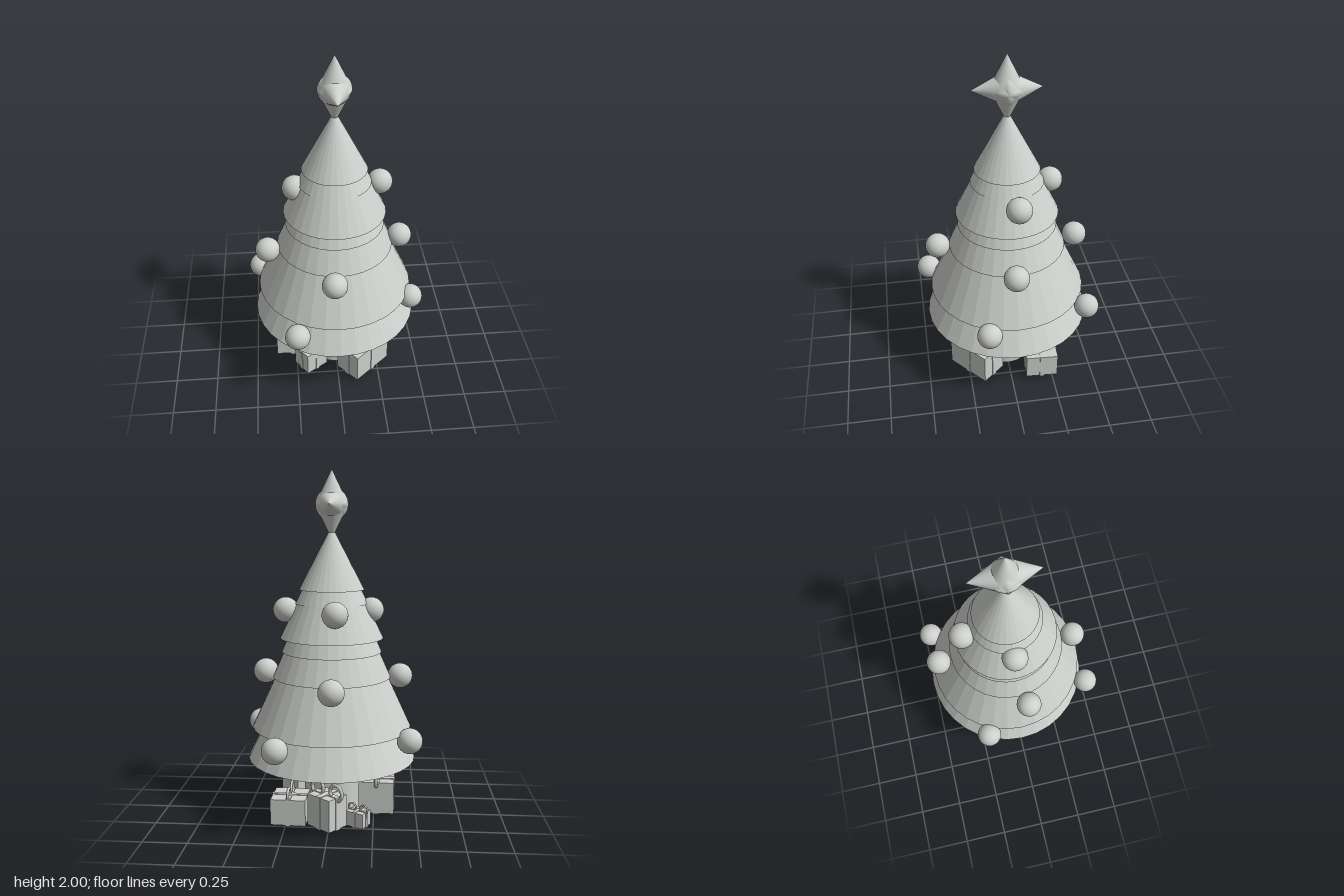
import * as THREE from 'three';

export function createModel() {
  const model = new THREE.Group();
  const grey = new THREE.MeshStandardMaterial({ color: 0xcccfcb });

  function add(parent, name, geometry, x = 0, y = 0, z = 0) {
    const mesh = new THREE.Mesh(geometry, grey);
    mesh.name = name;
    mesh.position.set(x, y, z);
    parent.add(mesh);
    return mesh;
  }

  // faceted normals without a second material
  function facet(geometry) {
    const flat = geometry.toNonIndexed();
    flat.computeVertexNormals();
    return flat;
  }

  const axisZ = -0.013;

  // trunk
  add(model, 'trunk', new THREE.CylinderGeometry(0.162, 0.162, 0.4, 32), 0, 0.2, 0);

  // foliage tiers: [base height, base radius, top height, top radius]
  const tiers = [
    [0.36, 0.485, 0.72, 0.3],
    [0.545, 0.458, 0.95, 0.27],
    [0.835, 0.338, 1.1, 0.22],
    [0.98, 0.286, 1.2, 0.19],
    [1.06, 0.295, 1.4, 0.13],
    [1.255, 0.207, 1.4, 0.135],
    [1.335, 0.185, 1.69, 0],
  ];
  for (const [y0, r0, y1, r1] of tiers) {
    const cone = facet(new THREE.CylinderGeometry(r1, r0, y1 - y0, 32));
    add(model, 'foliageTier', cone, 0, (y0 + y1) / 2, axisZ);
  }

  // baubles in three rings
  const baubles = [
    [0.26, 1.22, -0.04], [-0.035, 1.22, -0.265], [-0.225, 1.22, -0.01],
    [0.383, 0.858, -0.008], [-0.395, 0.83, 0.038], [-0.025, 0.83, -0.425], [-0.03, 0.83, 0.392],
    [0.443, 0.513, 0.152], [-0.245, 0.513, 0.447], [0.275, 0.513, -0.447], [-0.449, 0.513, -0.217],
  ];
  const ball = new THREE.SphereGeometry(0.072, 32, 20);
  for (const [x, y, z] of baubles) add(model, 'bauble', ball, x, y, z);

  // star made of two crossed spindles
  const star = new THREE.Group();
  star.name = 'star';
  star.position.set(0, 1.808, axisZ);
  const profile = [[0, -0.192], [0.088, -0.012], [0.093, 0], [0.088, 0.012], [0, 0.192]]
    .map(([r, y]) => new THREE.Vector2(r, y));
  const spindle = new THREE.LatheGeometry(profile, 32);
  add(star, 'verticalSpindle', spindle);
  add(star, 'horizontalSpindle', spindle).rotation.x = Math.PI / 2;
  model.add(star);

  // gift: box, two ribbon bands and a two-loop bow
  function gift(x, z, w, h, d, angle, bow) {
    const g = new THREE.Group();
    g.name = 'gift';
    g.position.set(x, 0.022, z);
    g.rotation.y = angle;
    const band = 0.036 * bow, proud = 0.008;
    add(g, 'giftBox', new THREE.BoxGeometry(w, h, d), 0, h / 2, 0);
    add(g, 'ribbonLengthwise', new THREE.BoxGeometry(w + proud, h + proud, band), 0, h / 2, 0);
    add(g, 'ribbonCrosswise', new THREE.BoxGeometry(band, h + proud, d + proud), 0, h / 2, 0);
    for (const side of [-1, 1]) {
      add(g, 'bowLoop', new THREE.TorusGeometry(0.047 * bow, 0.011 * bow, 10, 24),
        side * 0.075 * bow, h + 0.025 * bow, 0);
    }
    model.add(g);
  }
  gift(0.16, 0.198, 0.28, 0.185, 0.17, 0.72, 1);
  gift(-0.268, 0.01, 0.17, 0.188, 0.205, 1.53, 1);
  gift(-0.163, 0.18, 0.15, 0.145, 0.13, 0.6, 0.7);
  gift(0.225, -0.188, 0.19, 0.15, 0.2, 1.52, 0.75);
  gift(0.01, -0.26, 0.17, 0.185, 0.14, -0.7, 0.95);
  gift(-0.165, -0.24, 0.11, 0.085, 0.09, -0.5, 0.5);

  return model;
}
